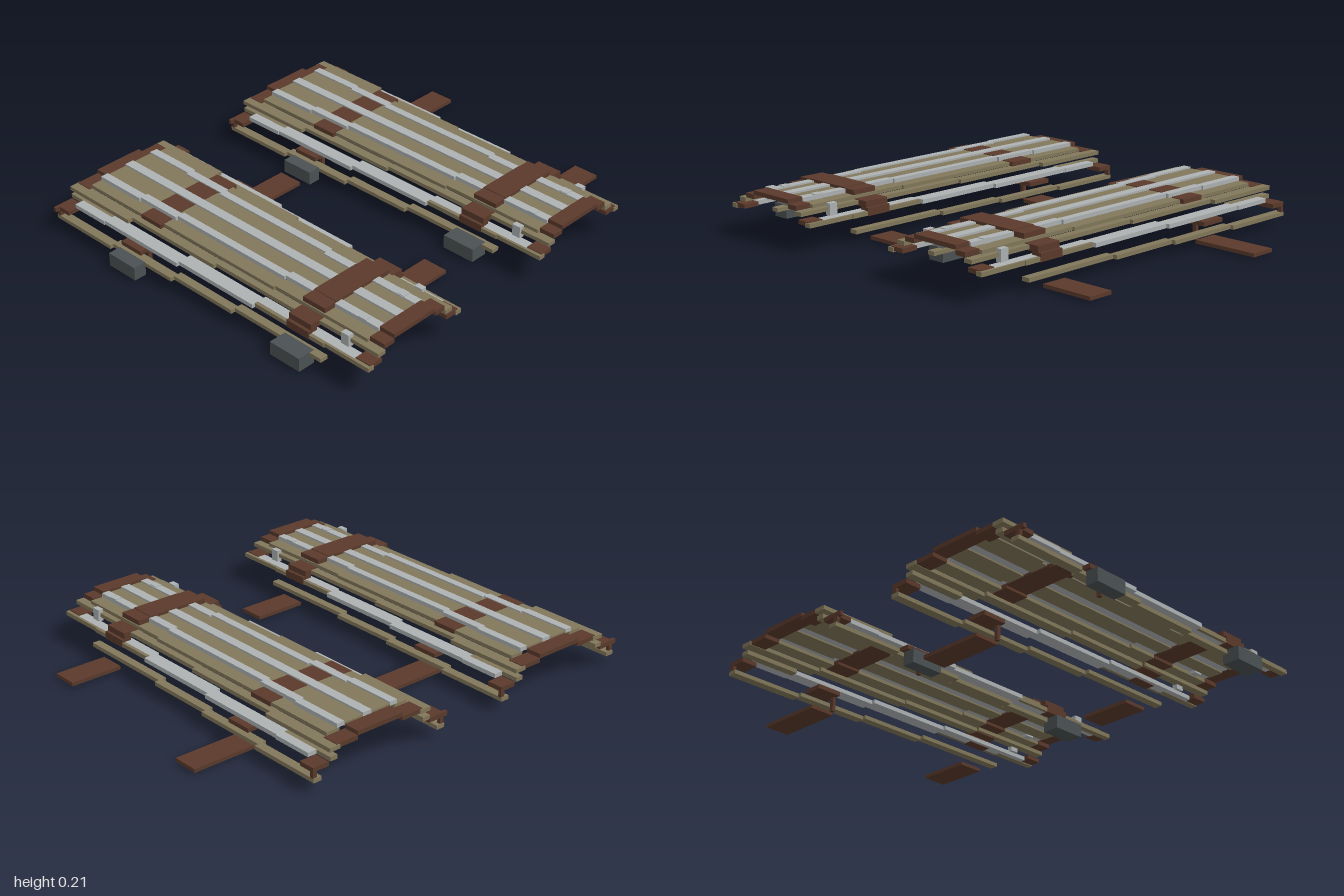
import * as THREE from 'three';

const material = (name, color) => {
  const m = new THREE.MeshStandardMaterial({ color });
  m.name = name;
  return m;
};

export function createModel() {
  const brown = material('brown leather', 0x5a392b);
  const khaki = material('khaki wood', 0x82775a);
  const grey = material('light grey metal', 0xadb1b2);
  const dark = material('dark grey metal', 0x4b5153);

  // box given by its limits
  function box(parent, name, mat, x0, x1, y0, y1, z0, z1) {
    const mesh = new THREE.Mesh(new THREE.BoxGeometry(x1 - x0, y1 - y0, z1 - z0), mat);
    mesh.position.set((x0 + x1) / 2, (y0 + y1) / 2, (z0 + z1) / 2);
    mesh.name = name;
    parent.add(mesh);
  }
  // the same box on both sides of the arch
  function pair(parent, name, mat, x0, x1, ...rest) {
    box(parent, name, mat, x0, x1, ...rest);
    box(parent, name, mat, -x1, -x0, ...rest);
  }
  // mirrored slat that narrows in steps: [z0, z1, inner x, outer x]
  function slat(parent, name, mat, y0, y1, steps) {
    for (const [z0, z1, x0, x1] of steps) pair(parent, name, mat, x0, x1, y0, y1, z0, z1);
  }

  function createGuard() {
    const g = new THREE.Group();
    g.name = 'armGuard';

    // slats, from the ridge outwards
    box(g, 'ridgeSlat', grey, -0.022, 0.022, 0.185, 0.202, -0.8, 0.8);
    slat(g, 'upperSlat', khaki, 0.178, 0.193, [
      [-0.8, -0.5, 0.022, 0.12], [-0.5, 0.3, 0.022, 0.105], [0.3, 0.8, 0.022, 0.09]]);
    slat(g, 'upperMetalStrip', grey, 0.182, 0.2, [
      [-0.8, -0.55, 0.12, 0.157], [-0.55, -0.33, 0.11, 0.148],
      [-0.33, 0.3, 0.1, 0.135], [0.3, 0.8, 0.087, 0.125]]);
    slat(g, 'shoulderSlat', khaki, 0.165, 0.181, [
      [-0.8, -0.4, 0.145, 0.21], [-0.4, 0.3, 0.13, 0.195], [0.3, 0.8, 0.12, 0.185]]);
    slat(g, 'sideSlat', khaki, 0.146, 0.164, [
      [-0.88, -0.5, 0.21, 0.265], [-0.5, 0.0, 0.195, 0.24],
      [0.0, 0.45, 0.185, 0.225], [0.45, 0.88, 0.17, 0.21]]);
    slat(g, 'lowerMetalStrip', grey, 0.108, 0.127, [
      [-0.8, -0.61, 0.262, 0.305], [-0.61, -0.16, 0.24, 0.3],
      [-0.16, 0.27, 0.222, 0.285], [0.27, 0.8, 0.21, 0.255]]);
    slat(g, 'lowerSlat', khaki, 0.107, 0.126, [
      [-0.88, -0.61, 0.225, 0.262], [0.27, 0.65, 0.255, 0.27], [0.65, 0.88, 0.235, 0.265]]);
    slat(g, 'rimSlat', khaki, 0.043, 0.061, [
      [-0.88, -0.53, 0.305, 0.345], [-0.53, -0.17, 0.287, 0.327],
      [-0.17, 0.17, 0.27, 0.308], [0.17, 0.65, 0.25, 0.287]]);

    // front and back end bands
    box(g, 'frontBandTop', brown, -0.117, 0.117, 0.185, 0.204, 0.8, 0.875);
    pair(g, 'frontBandShoulder', brown, 0.117, 0.17, 0.165, 0.185, 0.8, 0.875);
    pair(g, 'frontBandSide', brown, 0.185, 0.25, 0.111, 0.13, 0.8, 0.875);
    box(g, 'backBandTop', brown, -0.117, 0.117, 0.166, 0.185, -0.875, -0.8);
    pair(g, 'backBandShoulder', brown, 0.117, 0.225, 0.148, 0.167, -0.875, -0.8);
    pair(g, 'backBandSide', brown, 0.265, 0.345, 0.087, 0.107, -0.875, -0.8);
    pair(g, 'backBandTab', brown, 0.325, 0.345, 0.06, 0.088, -0.875, -0.86);
    box(g, 'backBandTip', brown, -0.365, -0.345, 0.087, 0.107, -0.875, -0.86);

    // front strap runs over the slats
    box(g, 'frontStrapTop', brown, -0.117, 0.117, 0.177, 0.206, 0.45, 0.57);
    pair(g, 'frontStrapShoulder', brown, 0.117, 0.18, 0.163, 0.203, 0.45, 0.57);
    pair(g, 'frontStrapSide', brown, 0.18, 0.258, 0.14, 0.167, 0.45, 0.57);
    pair(g, 'frontStrapHem', brown, 0.225, 0.272, 0.105, 0.14, 0.45, 0.57);
    box(g, 'frontStrapTail', brown, 0.285, 0.532, 0.006, 0.022, 0.45, 0.57);

    // back strap is woven between the wood and the metal
    box(g, 'backStrapTop', brown, -0.117, 0.117, 0.174, 0.196, -0.47, -0.35);
    pair(g, 'backStrapShoulder', brown, 0.117, 0.215, 0.162, 0.184, -0.47, -0.35);
    pair(g, 'backStrapSide', brown, 0.24, 0.33, 0.087, 0.106, -0.47, -0.35);
    pair(g, 'backStrapLink', brown, 0.268, 0.287, 0.02, 0.1, -0.365, -0.35);
    box(g, 'backStrapTail', brown, 0.285, 0.595, 0.006, 0.022, -0.47, -0.35);

    // buckles on the outer rim
    box(g, 'backBuckle', dark, -0.385, -0.325, 0, 0.062, -0.49, -0.33);
    box(g, 'frontBuckle', dark, -0.345, -0.263, 0, 0.062, 0.43, 0.59);

    // small studs near the front
    pair(g, 'upperStud', grey, 0.09, 0.125, 0.17, 0.203, 0.695, 0.735);
    pair(g, 'lowerStud', grey, 0.195, 0.22, 0.125, 0.18, 0.695, 0.735);
    return g;
  }

  const model = new THREE.Group();
  model.name = 'pairOfArmGuards';
  for (const x of [-0.615, 0.405]) {
    const guard = createGuard();
    guard.position.x = x;
    model.add(guard);
  }
  return model;
}
